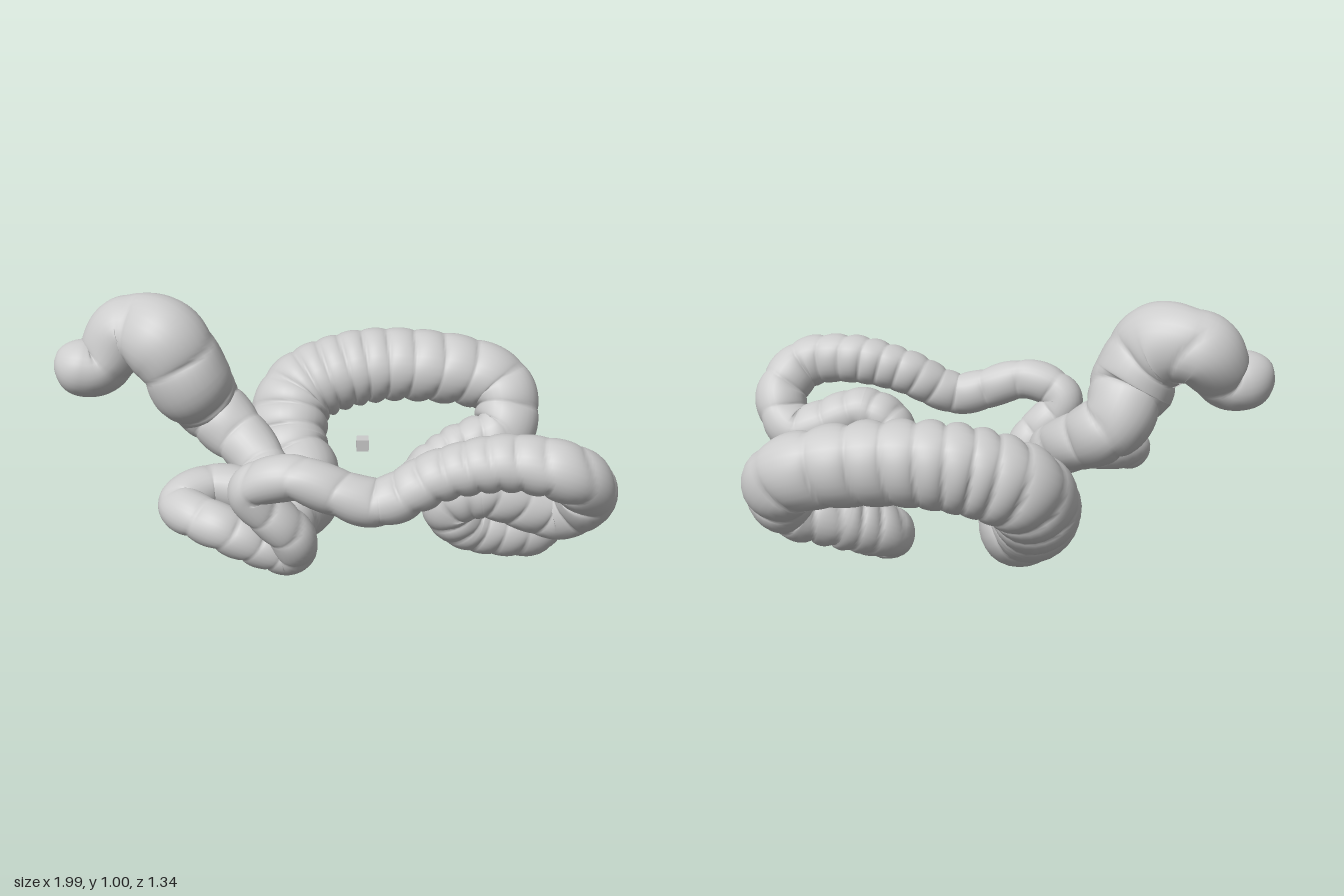
import * as THREE from 'three';

// Each part: crease spacing, start radius, end radius, mid bulge, centre line
const PARTS = [
  ['rectum', 0.17, 0.1, 0.08, 0.07, [
    [-1, 0.76, -0.08], [-0.84, 0.735, -0.09], [-0.72, 0.86, -0.12], [-0.58, 0.84, -0.05],
    [-0.5, 0.7, -0.04], [-0.43, 0.57, -0.1], [-0.23, 0.41, 0.08]]],
  ['sigmoidColon', 0.12, 0.085, 0.08, 0, [
    [-0.22, 0.36, 0.19], [-0.42, 0.37, 0.18], [-0.52, 0.34, 0.26], [-0.38, 0.31, 0.38],
    [-0.13, 0.21, 0.385], [-0.12, 0.29, 0.425], [-0.26, 0.48, 0.445], [-0.13, 0.55, 0.49]]],
  ['descendingColon', 0.1, 0.085, 0.1, 0.01, [
    [0.17, 0.475, 0.53], [0.38, 0.57, 0.52], [0.6, 0.62, 0.535], [0.8, 0.59, 0.555],
    [0.89, 0.48, 0.47], [0.82, 0.365, 0.38]]],
  ['transverseColon', 0.09, 0.095, 0.095, -0.005, [
    [0.54, 0.445, 0.38], [0.43, 0.385, 0.355], [0.5, 0.28, 0.31], [0.76, 0.215, 0.24],
    [0.77, 0.205, 0.06], [0.5, 0.165, -0.15], [0.385, 0.19, -0.24]]],
  ['ascendingColon', 0.1, 0.115, 0.165, 0.01, [
    [0.55, 0.28, -0.31], [0.72, 0.35, -0.35], [0.71, 0.5, -0.47], [0.4, 0.57, -0.515],
    [0.1, 0.55, -0.52], [-0.1, 0.46, -0.48], [-0.14, 0.3, -0.32]]],
  ['cecum', 0.13, 0.165, 0.09, 0, [
    [-0.09, 0.2, -0.16], [-0.16, 0.145, 0], [-0.19, 0.125, 0.08]]],
];
const RINGS = 1100, SIDES = 28;

export function createModel() {
  const group = new THREE.Group();
  const material = new THREE.MeshStandardMaterial({ color: 0xcccccc });

  // One continuous curve through all parts, so that they join smoothly
  const stations = PARTS.flatMap(([, spacing, r0, r1, bulge, points], part) =>
    points.map((p, i) => {
      const t = i / points.length;
      const r = THREE.MathUtils.lerp(r0, r1, t) + bulge * Math.sin(Math.PI * t) ** 2;
      return { p: new THREE.Vector3(...p), r, spacing, part };
    }));
  const curve = new THREE.CatmullRomCurve3(stations.map(s => s.p));
  curve.arcLengthDivisions = 2000;
  const length = curve.getLength();
  const frames = curve.computeFrenetFrames(RINGS, false);

  // Rings with pouches between creases, three lengthwise bands and domed ends
  const rings = [];
  let phase = 0;
  for (let i = 0; i <= RINGS; i++) {
    const u = i / RINGS;
    const k = curve.getUtoTmapping(u) * (stations.length - 1);
    const a = stations[Math.min(Math.floor(k), stations.length - 1)];
    const b = stations[Math.min(Math.floor(k) + 1, stations.length - 1)];
    const r = THREE.MathUtils.lerp(a.r, b.r, THREE.MathUtils.smoothstep(k % 1, 0, 1));
    const end = Math.min(1, Math.min(u, 1 - u) * length / r);
    const dome = Math.sqrt(1 - (1 - end) ** 2);
    phase += length / RINGS / (a.spacing * (1 + 0.25 * Math.sin(i * 0.037)));
    const centre = curve.getPointAt(u), points = [];
    for (let j = 0; j < SIDES; j++) {
      const t = j / SIDES * Math.PI * 2;
      const wave = phase + 0.16 * Math.sin(t + i * 0.013) + 0.07 * Math.sin(2 * t + i * 0.02);
      const pouch = Math.sqrt(Math.abs(Math.sin(Math.PI * wave)));
      const depth = 0.11 + 0.05 * Math.cos(3 * t);
      const radius = r * dome * (1.015 - depth * (1 - pouch) - 0.015 * Math.cos(3 * t));
      points.push(centre.clone()
        .addScaledVector(frames.normals[i], Math.cos(t) * radius)
        .addScaledVector(frames.binormals[i], Math.sin(t) * radius));
    }
    rings.push({ points, part: a.part });
  }

  // Skin each part, sharing its last ring with the next part
  PARTS.forEach(([name], part) => {
    const first = rings.findIndex(r => r.part === part);
    const next = rings.findIndex(r => r.part === part + 1);
    const own = rings.slice(first, next < 0 ? rings.length : next + 1);
    const index = [];
    for (let i = 0; i < own.length - 1; i++) {
      for (let j = 0; j < SIDES; j++) {
        const a = i * SIDES + j, b = i * SIDES + (j + 1) % SIDES;
        const c = a + SIDES, d = b + SIDES;
        index.push(a, b, c, b, d, c);
      }
    }
    const geometry = new THREE.BufferGeometry().setFromPoints(own.flatMap(r => r.points));
    geometry.setIndex(index);
    geometry.computeVertexNormals();
    const mesh = new THREE.Mesh(geometry, material);
    mesh.name = name;
    group.add(mesh);
  });

  // Small cube floating in the middle
  const cube = new THREE.Mesh(new THREE.BoxGeometry(0.045, 0.045, 0.045), material);
  cube.position.set(0.14, 0.46, 0.01);
  cube.name = 'centreCube';
  group.add(cube);
  return group;
}
